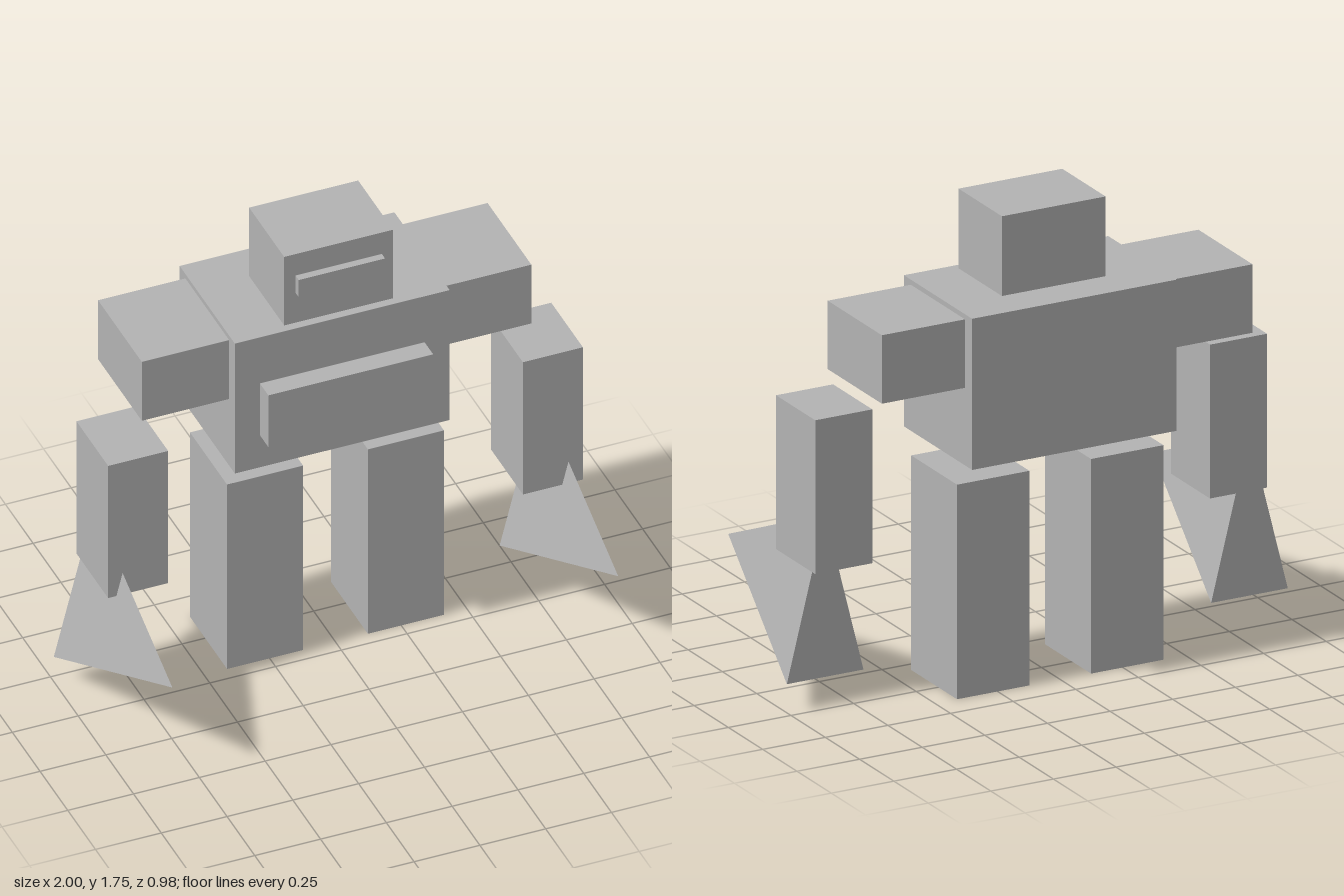
import * as THREE from 'three';
import { ConvexGeometry } from 'three/addons/geometries/ConvexGeometry.js';

export function createModel() {
  const model = new THREE.Group();
  model.name = 'blockRobot';
  const grey = new THREE.MeshStandardMaterial({ color: 0xb3b3b3 });
  grey.name = 'plain grey';

  const add = (name, geometry) => {
    const mesh = new THREE.Mesh(geometry, grey);
    mesh.name = name;
    model.add(mesh);
    return mesh;
  };

  // Box given by its extents along each axis
  const block = (name, [x0, x1], [y0, y1], [z0, z1]) =>
    add(name, new THREE.BoxGeometry(x1 - x0, y1 - y0, z1 - z0))
      .position.set((x0 + x1) / 2, (y0 + y1) / 2, (z0 + z1) / 2);

  // Body and head
  block('torso', [-0.408, 0.408], [0.89, 1.455], [-0.49, 0.008]);
  block('chestPlate', [-0.313, 0.313], [1.03, 1.255], [0.008, 0.085]);
  block('head', [-0.207, 0.207], [1.455, 1.753], [-0.34, -0.024]);
  block('visor', [-0.164, 0.164], [1.585, 1.66], [-0.024, 0.005]);

  // Limbs on both sides
  for (const [side, s] of [['left', 1], ['right', -1]]) {
    const span = (a, b) => (s > 0 ? [a, b] : [-b, -a]);
    block(side + 'Shoulder', span(0.408, 0.74), [1.18, 1.436], [-0.438, -0.043]);
    block(side + 'Forearm', span(0.674, 0.902), [0.51, 1.085], [-0.248, 0.038]);
    block(side + 'Leg', span(0.123, 0.412), [0, 0.802], [-0.387, -0.053]);

    // Three-sided claw pointing forward from the end of the forearm
    const claw = [
      [0.847, 0.41, 0.487],
      [0.847, 0.715, -0.22],
      [0.694, 0.107, -0.22],
      [1, 0.107, -0.22],
    ].map(([x, y, z]) => new THREE.Vector3(s * x, y, z));
    add(side + 'Claw', new ConvexGeometry(claw));
  }
  return model;
}
